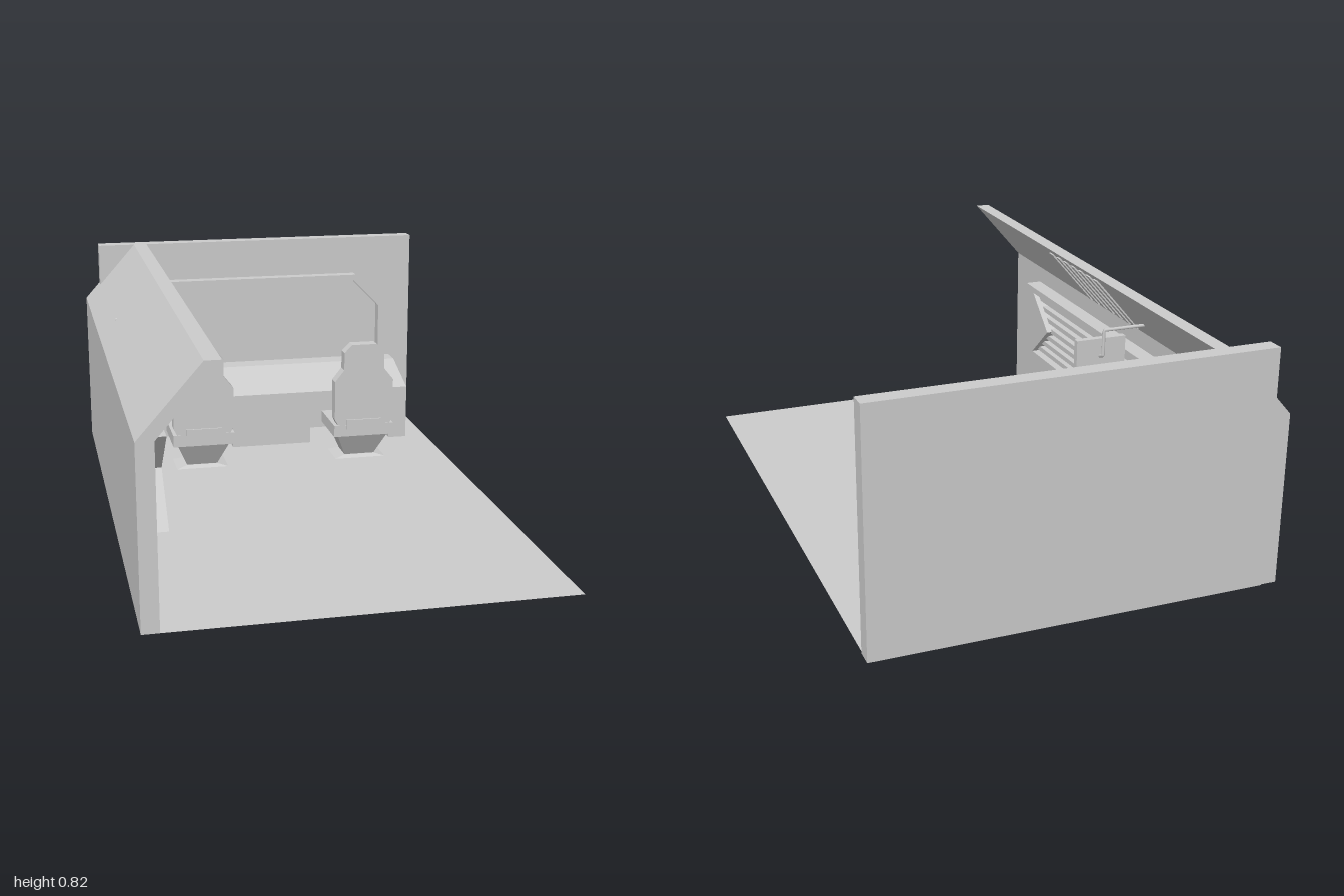
import * as THREE from 'three';

const grey = new THREE.MeshStandardMaterial({ color: 0xcccccc });
grey.name = 'panel grey';
const greyThin = grey.clone();
greyThin.side = THREE.DoubleSide;

function add(parent, name, geometry, material = grey) {
  const m = new THREE.Mesh(geometry, material);
  m.name = name;
  parent.add(m);
  return m;
}

// Box given by its limits on each axis
function box(x0, x1, y0, y1, z0, z1) {
  return new THREE.BoxGeometry(x1 - x0, y1 - y0, z1 - z0)
    .translate((x0 + x1) / 2, (y0 + y1) / 2, (z0 + z1) / 2);
}

const toShape = pts => new THREE.Shape(pts.map(p => new THREE.Vector2(...p)));

// Outline in (x, y), running from z0 to z1
function alongZ(pts, z0, z1) {
  return new THREE.ExtrudeGeometry(toShape(pts), { depth: z1 - z0, bevelEnabled: false }).translate(0, 0, z0);
}

// Outline in (z, y), running from x0 to x1
function alongX(pts, x0, x1, hole) {
  const s = toShape(pts);
  if (hole) s.holes.push(new THREE.Path(hole.map(p => new THREE.Vector2(...p))));
  return new THREE.ExtrudeGeometry(s, { depth: x1 - x0, bevelEnabled: false })
    .rotateY(-Math.PI / 2).translate(x1, 0, 0);
}

// Block with different rectangles [halfWidth, z0, z1] at bottom and top
function frustum(y0, bottom, y1, top) {
  const g = new THREE.BoxGeometry(2, 2, 2);
  const p = g.attributes.position;
  for (let i = 0; i < p.count; i++) {
    const up = p.getY(i) > 0;
    const [w, z0, z1] = up ? top : bottom;
    p.setXYZ(i, p.getX(i) * w, up ? y1 : y0, p.getZ(i) > 0 ? z1 : z0);
  }
  g.computeVertexNormals();
  return g;
}

function createChair(x) {
  const chair = new THREE.Group();
  chair.name = 'chair';
  chair.position.x = x;
  add(chair, 'foot', frustum(0.028, [0.107, -0.565, -0.425], 0.04, [0.06, -0.545, -0.445]));
  add(chair, 'pedestal', frustum(0.038, [0.058, -0.545, -0.45], 0.136, [0.1, -0.56, -0.395]));
  add(chair, 'seat', box(-0.117, 0.117, 0.135, 0.18, -0.6, -0.38));
  // Backrest with a stepped headrest
  const half = [[0.1, 0.175], [0.115, 0.205], [0.115, 0.355], [0.079, 0.4], [0.079, 0.468], [0.048, 0.498]];
  const outline = [...half, ...half.map(([a, b]) => [-a, b]).reverse()];
  add(chair, 'backrest', alongZ(outline, -0.43, -0.382));
  add(chair, 'lowerBackPlate', box(-0.068, 0.068, 0.165, 0.202, -0.385, -0.375));
  return chair;
}

export function createModel() {
  const model = new THREE.Group();
  model.name = 'controlRoom';

  // Room shell
  add(model, 'floor', new THREE.PlaneGeometry(1.29, 2).rotateX(-Math.PI / 2).translate(0.025, 0.03, 0), greyThin);
  add(model, 'backWall', box(-0.62, 0.672, 0.028, 0.82, -1, -0.943));
  add(model, 'sideWall', alongZ([[-0.675, 0.028], [-0.62, 0.028], [-0.62, 0.6],
    [-0.43, 0.82], [-0.48, 0.82], [-0.675, 0.6]], -0.996, 0.996));

  // Vent strips on the sloped part of the side wall
  const vents = new THREE.Group();
  vents.name = 'vents';
  model.add(vents);
  const strip = [[-0.615, 0.606], [-0.609, 0.606], [-0.44, 0.799], [-0.448, 0.799]];
  for (let i = 0; i < 7; i++) {
    const z = 0.265 - i * 0.0625;
    add(vents, 'ventStrip', alongZ(strip, z - 0.015, z + 0.015));
  }

  // Arrow-shaped wall panel with louvres
  const panel = new THREE.Group();
  panel.name = 'arrowPanel';
  model.add(panel);
  const arrow = (tail, notch, shoulder, tip, h) => [[tail, 0.39 + h], [shoulder, 0.39 + h], [tip, 0.39],
    [shoulder, 0.39 - h], [tail, 0.39 - h], [notch, 0.39]];
  add(panel, 'panelFrame', alongX(arrow(0.76, 0.6, -0.52, -0.745, 0.148), -0.625, -0.56,
    arrow(0.69, 0.545, -0.48, -0.69, 0.125)));
  const pitch = 0.25 / 7;
  for (let i = -3; i <= 3; i++) {
    const front = d => 0.545 + 0.145 * Math.abs(d) / 0.125;
    const back = d => -0.69 + 0.21 * Math.abs(d) / 0.125;
    const a = i * pitch + 0.009, b = i * pitch - 0.009;
    const pts = [[front(a), 0.39 + a], [back(a), 0.39 + a], [back(b), 0.39 + b], [front(b), 0.39 + b]];
    add(panel, 'louvre', alongX(pts, -0.625, -0.58));
  }

  // Small screen on a bent arm
  const monitor = new THREE.Group();
  monitor.name = 'wallMonitor';
  model.add(monitor);
  add(monitor, 'screen', box(-0.505, -0.322, 0.53, 0.63, -0.235, -0.212));
  const bends = [[-0.618, 0.667, -0.258], [-0.41, 0.667, -0.258], [-0.41, 0.575, -0.258], [-0.41, 0.565, -0.23]]
    .map(p => new THREE.Vector3(...p));
  const arm = new THREE.CurvePath();
  for (let i = 0; i < 3; i++) arm.add(new THREE.LineCurve3(bends[i], bends[i + 1]));
  add(monitor, 'arm', new THREE.TubeGeometry(arm, 40, 0.006, 8));

  // Arched frame on the back wall
  const cx = 0.025;
  const outer = [[0.53, 0.3], [0.53, 0.545], [0.405, 0.67]];
  const inner = [[0.503, 0.3], [0.503, 0.537], [0.395, 0.645]];
  const right = pts => pts.map(([x, y]) => [cx + x, y]);
  const left = pts => pts.map(([x, y]) => [cx - x, y]);
  add(model, 'wallFrame', alongZ([...right(outer), ...left(outer).reverse(),
    ...left(inner), ...right(inner).reverse()], -0.945, -0.897));

  // Console: sloped desk on pillars, with two knee spaces
  const desk = new THREE.Group();
  desk.name = 'console';
  model.add(desk);
  add(desk, 'deskTop', alongX([[-0.66, 0.235], [-0.66, 0.243], [-0.86, 0.312], [-0.943, 0.312], [-0.943, 0.235]], -0.533, 0.587));
  for (const [x0, x1] of [[-0.533, -0.463], [-0.133, 0.185], [0.515, 0.587]]) {
    add(desk, 'pillar', box(x0, x1, 0, 0.235, -0.943, -0.66));
  }
  add(desk, 'kneeSpaceBack', box(-0.47, 0.52, 0, 0.235, -0.943, -0.86));
  add(desk, 'base', box(-0.533, 0.587, 0, 0.02, -0.943, -0.66));

  // Two chairs facing the console
  for (const x of [-0.29, 0.335]) model.add(createChair(x));

  return model;
}
